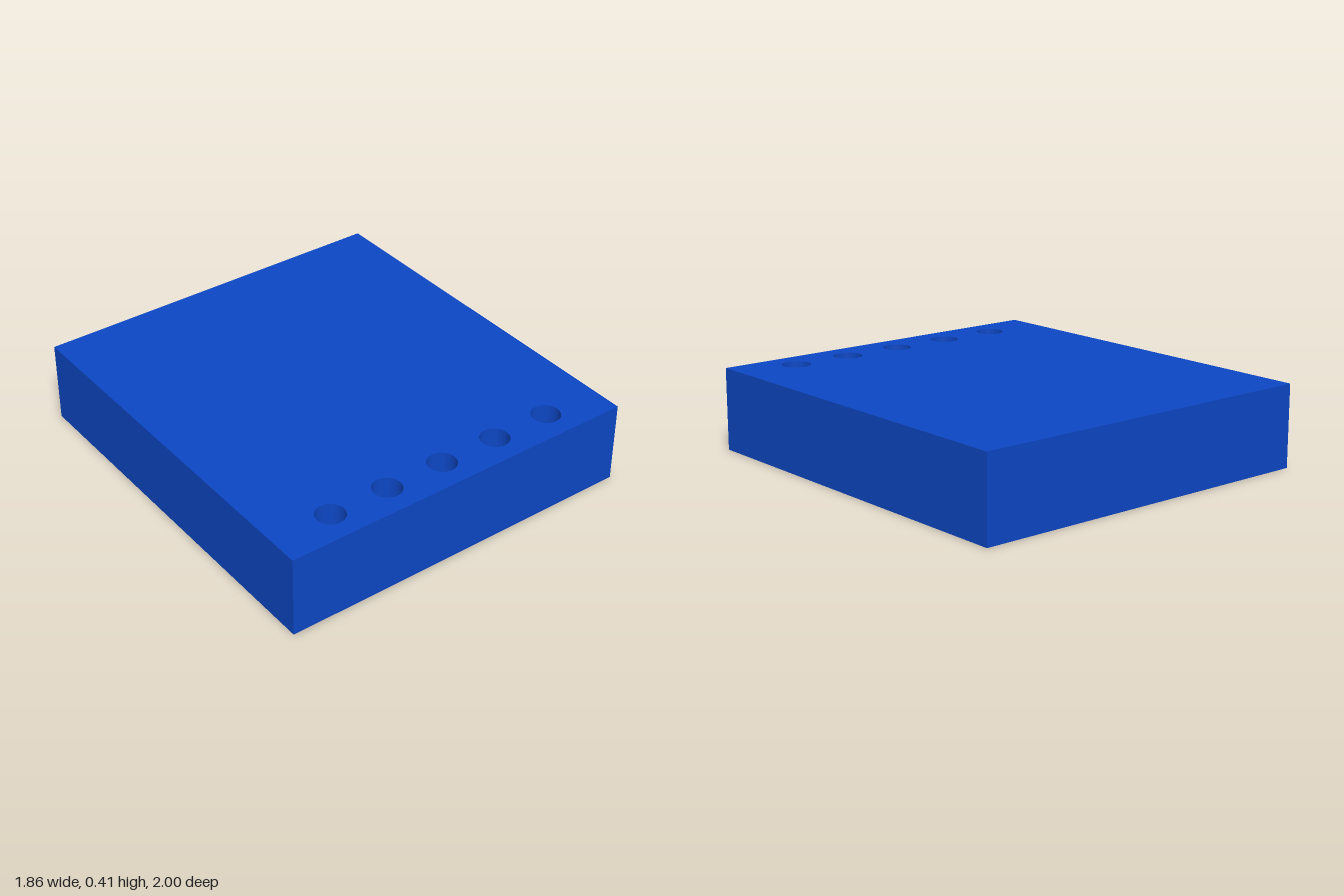
import * as THREE from 'three';
import { toCreasedNormals } from 'three/addons/utils/BufferGeometryUtils.js';

const HALF_WIDTH = 0.93, HALF_DEPTH = 1, HEIGHT = 0.414;
const HOLE_RADIUS = 0.071, HOLE_SPACING = 0.31, HOLE_Z = 0.845;

export function createModel() {
  const group = new THREE.Group();
  group.name = 'perforatedBlock';

  // Rectangular outline; shape y becomes z once laid flat
  const outline = new THREE.Shape([
    new THREE.Vector2(-HALF_WIDTH, -HALF_DEPTH),
    new THREE.Vector2(HALF_WIDTH, -HALF_DEPTH),
    new THREE.Vector2(HALF_WIDTH, HALF_DEPTH),
    new THREE.Vector2(-HALF_WIDTH, HALF_DEPTH),
  ]);

  // Row of five through holes along the front edge
  for (let i = -2; i <= 2; i++) {
    const hole = new THREE.Path();
    hole.absarc(i * HOLE_SPACING, HOLE_Z, HOLE_RADIUS, 0, Math.PI * 2, true);
    outline.holes.push(hole);
  }

  // Solid block, laid flat on the ground
  const geometry = new THREE.ExtrudeGeometry(outline, {
    depth: HEIGHT, bevelEnabled: false, curveSegments: 32,
  });
  geometry.rotateX(Math.PI / 2).translate(0, HEIGHT, 0);

  const block = new THREE.Mesh(
    toCreasedNormals(geometry, Math.PI / 6),
    new THREE.MeshStandardMaterial({ color: 0x0d47c4 }),
  );
  block.name = 'block';
  group.add(block);
  return group;
}
